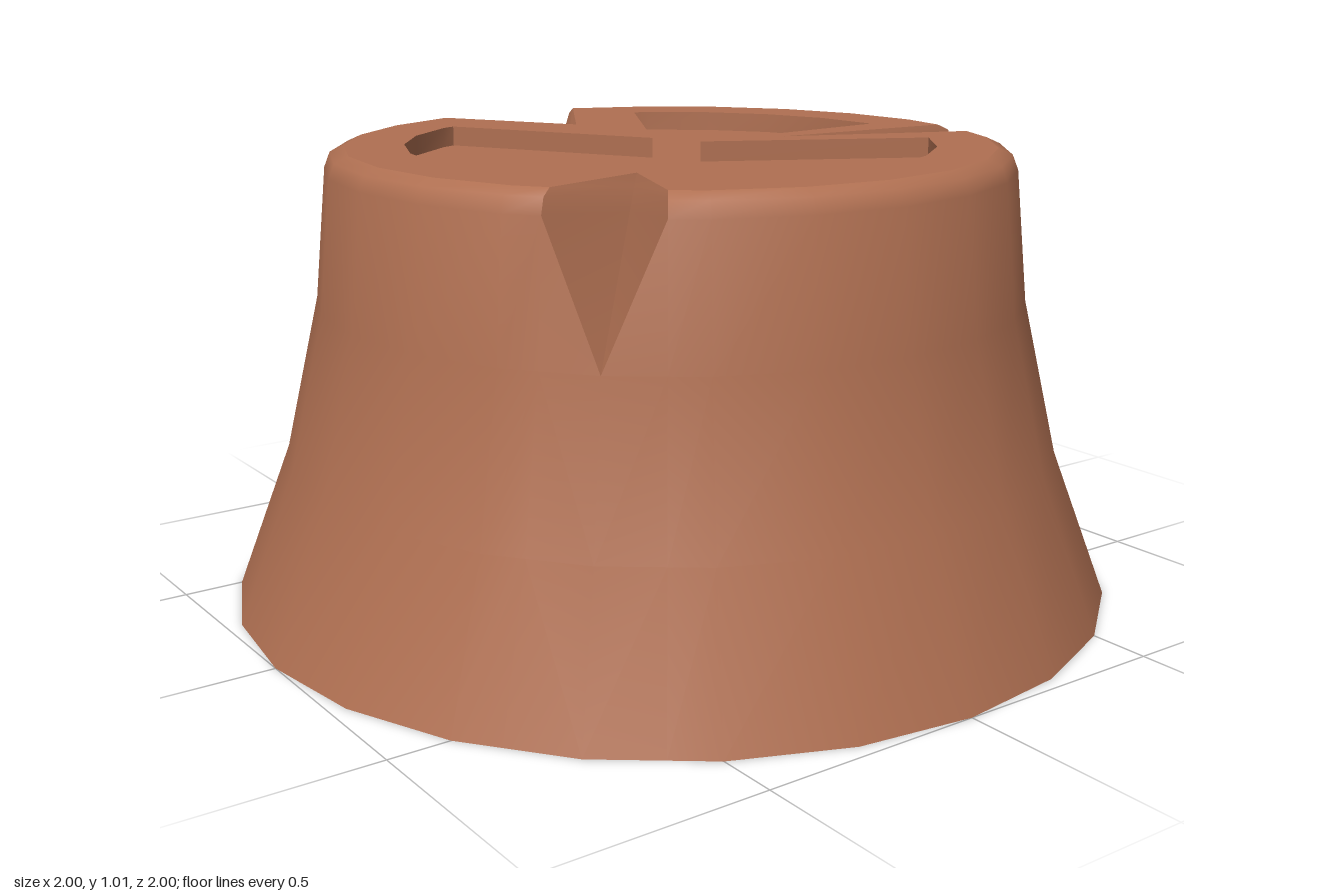
import * as THREE from 'three';
import { toCreasedNormals } from 'three/addons/utils/BufferGeometryUtils.js';

const STEP = 15; // 24-sided
const TOP = 1.012, RECESS = 0.045;
// Flared trunk profile: [radius, height]
const RINGS = [[1, 0], [0.875, 0.33], [0.795, 0.675], [0.766, 0.965], [0.753, 0.998], [0.722, TOP]];
// V-shaped cuts in the rim: centre angle, edge angles, inner tip [x, z]
const NOTCHES = [
  { at: 45, edges: [36, 54], tip: [0.36, 0.34] },
  { at: 180, edges: [165, 195], tip: [-0.39, 0] },
  { at: 285, edges: [279.5, 290.5], tip: [0.08, -0.26] },
];

const rad = THREE.MathUtils.degToRad;

// Point on the 24-sided outline (extra columns lie on the straight sides)
function polar(r, deg, y) {
  const off = ((deg % STEP) + STEP) % STEP - STEP / 2;
  const k = r * Math.cos(rad(STEP / 2)) / Math.cos(rad(off));
  return new THREE.Vector3(k * Math.cos(rad(deg)), y, k * Math.sin(rad(deg)));
}

function fromTriangles(points, crease) {
  const geo = new THREE.BufferGeometry().setFromPoints(points);
  return toCreasedNormals(geo, crease);
}

function makeColumns() {
  const set = new Set();
  for (let a = 0; a < 360; a += STEP) set.add(a);
  NOTCHES.forEach(n => n.edges.forEach(e => set.add(e)));
  return [...set].sort((a, b) => a - b).map(deg => {
    const notch = NOTCHES.find(n => n.at === deg);
    const points = RINGS.map(([r, y]) => polar(r, deg, y));
    if (notch) {
      // The valley runs straight from the trunk side to the inner tip
      const tip = new THREE.Vector3(notch.tip[0], TOP, notch.tip[1]);
      [0.8, 0.93, 1].forEach((t, i) => points[3 + i].copy(points[2]).lerp(tip, t));
    }
    return { notch, points };
  });
}

function trunkSide(columns) {
  const tris = [];
  columns.forEach((col, i) => {
    const next = columns[(i + 1) % columns.length];
    for (let j = 0; j < RINGS.length - 1; j++) {
      const a = col.points[j], b = next.points[j];
      const c = next.points[j + 1], d = col.points[j + 1];
      // Diagonals start at the notch bottom so each cut is a clean V
      if (col.notch) tris.push(a, c, b, a, d, c);
      else tris.push(a, d, b, b, d, c);
    }
  });
  return fromTriangles(tris, 0.8);
}

// Outline of the sunken top: three arcs with wedge corners between them
function recessOutline() {
  const pts = [];
  const arc = (from, to) => {
    const angles = [from];
    for (let a = Math.ceil((from + 1) / STEP) * STEP; a < to - 1; a += STEP) angles.push(a);
    angles.push(to);
    angles.forEach(a => pts.push(polar(0.59, a, 0)));
  };
  arc(-60.6, 31);
  pts.push(new THREE.Vector3(0.28, 0, 0.2));
  arc(55, 153.5);
  pts.push(new THREE.Vector3(-0.07, 0, 0));
  arc(206.5, 271);
  pts.push(new THREE.Vector3(0.045, 0, -0.05));
  return pts;
}

const flat = pts => pts.map(p => new THREE.Vector2(p.x, -p.z));

function flatFace(shape, y) {
  return new THREE.ShapeGeometry(shape).rotateX(-Math.PI / 2).translate(0, y, 0);
}

export function createModel() {
  const group = new THREE.Group();
  group.name = 'treeStump';
  const wood = new THREE.MeshStandardMaterial({ color: 0xb07052 });
  wood.name = 'brown wood';
  const add = (name, geo) => {
    const mesh = new THREE.Mesh(geo, wood);
    mesh.name = name;
    group.add(mesh);
  };

  const columns = makeColumns();
  const outline = recessOutline();

  add('trunk', trunkSide(columns));
  add('base', new THREE.CircleGeometry(1, 360 / STEP).rotateX(Math.PI / 2));

  // Raised rim around the sunken top
  const rim = new THREE.Shape(flat(columns.map(c => c.points[RINGS.length - 1])));
  rim.holes.push(new THREE.Path(flat(outline)));
  add('topRim', flatFace(rim, TOP));

  // Sunken cut face and its walls
  add('recessFloor', flatFace(new THREE.Shape(flat(outline)), TOP - RECESS));
  const walls = [];
  outline.forEach((p, i) => {
    const q = outline[(i + 1) % outline.length];
    const [a, b] = [p, q].map(v => v.clone().setY(TOP - RECESS));
    const [d, c] = [p, q].map(v => v.clone().setY(TOP));
    walls.push(a, b, c, a, c, d);
  });
  add('recessWalls', fromTriangles(walls, 0.5));

  return group;
}
